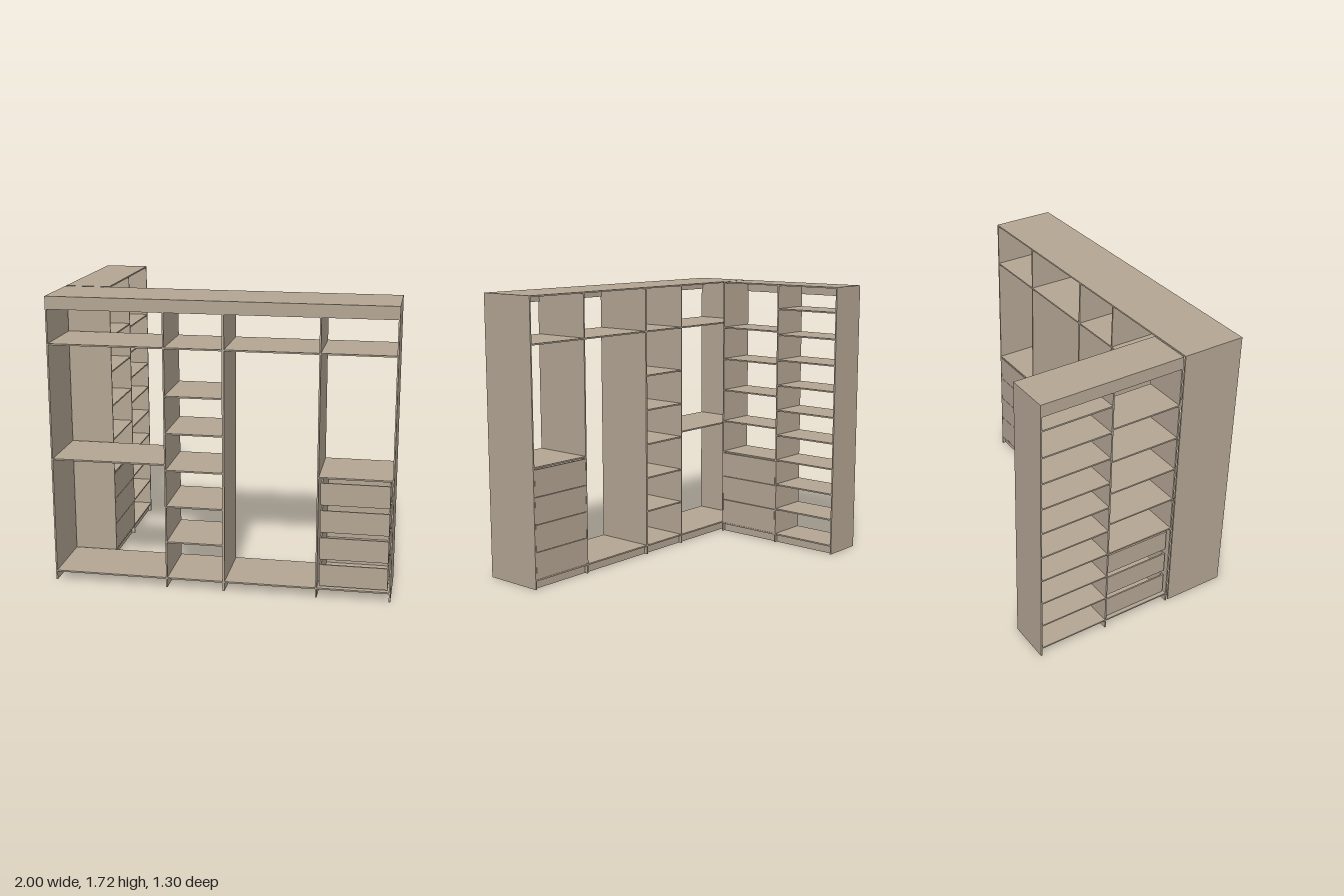
import * as THREE from 'three';

const T = 0.009;        // board thickness
const H = 1.72;         // overall height
const PLINTH = 0.06;    // top of the bottom board
const PITCH = 0.165;    // drawer spacing

const wood = new THREE.MeshStandardMaterial({ color: 0xb3a593 });
wood.name = 'tan board';

// Board given by its low and high corners
function board(parent, name, x0, x1, y0, y1, z0, z1) {
  const mesh = new THREE.Mesh(new THREE.BoxGeometry(x1 - x0, y1 - y0, z1 - z0), wood);
  mesh.position.set((x0 + x1) / 2, (y0 + y1) / 2, (z0 + z1) / 2);
  mesh.name = name;
  parent.add(mesh);
}

// Drawer with a face panel at z = 0 and an open-topped box behind it
function drawer(parent, x0, x1, y, depth) {
  const g = new THREE.Group();
  g.name = 'drawer';
  const a = x0 + 0.01, b = x1 - 0.01, lo = y + 0.006, hi = y + 0.138, back = depth - 0.02;
  board(g, 'drawerFront', x0 + 0.001, x1 - 0.001, y + 0.001, y + PITCH - 0.002, 0, T);
  board(g, 'drawerSide', a, a + T, lo, hi, T, back);
  board(g, 'drawerSide', b - T, b, lo, hi, T, back);
  board(g, 'drawerBack', a + T, b - T, lo, hi, back - T, back);
  board(g, 'drawerBottom', a + T, b - T, lo, lo + 0.005, T, back - T);
  parent.add(g);
}

// Open cabinet run: drawers face -z, the top rail closes the +z side.
// walls: [centre, thickness]; bays: shelf heights and drawer count per bay
function cabinet(name, depth, walls, bays) {
  const g = new THREE.Group();
  g.name = name;
  const edge = walls.map(([c, t]) => [c - t / 2, c + t / 2]);
  board(g, 'topBoard', edge[0][0], edge.at(-1)[1], H - T, H, 0, depth);
  for (const [a, b] of edge) board(g, 'uprightPanel', a, b, 0, H - T, 0, depth);

  bays.forEach(({ shelves, drawers = 0 }, i) => {
    const x0 = edge[i][1], x1 = edge[i + 1][0];
    board(g, 'bottomBoard', x0, x1, PLINTH - T, PLINTH, 0, depth);
    board(g, 'plinth', x0, x1, 0, PLINTH - T, 0.02, 0.02 + T);
    board(g, 'topRail', x0, x1, 1.645, H - T, depth - T, depth);
    for (const y of shelves) board(g, 'shelf', x0, x1, y - T / 2, y + T / 2, 0, depth);
    for (let d = 0; d < drawers; d++) drawer(g, x0, x1, PLINTH + d * PITCH, depth);
  });
  return g;
}

export function createModel() {
  const model = new THREE.Group();
  model.name = 'cornerWardrobe';

  // Long run
  const main = cabinet('mainCabinet', 0.388,
    [[-1 + T / 2, T], [-0.317, T], [0.025, 0.013], [0.57, T], [1 - T / 2, T]],
    [
      { shelves: [1.443, 0.756] },
      { shelves: [1.443, 1.163, 0.943, 0.722, 0.502, 0.282] },
      { shelves: [1.443] },
      { shelves: [1.443, 0.729], drawers: 4 },
    ]);
  main.position.z = 0.262;
  model.add(main);

  // Short return run, turned so its drawers face +x
  const wing = cabinet('sideCabinet', 0.265,
    [[-0.65 + T / 2, T], [-0.2, T], [0.25 - T / 2, T]],
    [
      { shelves: [1.56, 1.393, 1.227, 1.06, 0.895, 0.728, 0.561, 0.395, 0.228] },
      { shelves: [1.413, 1.2, 0.987, 0.774, 0.561], drawers: 3 },
    ]);
  wing.rotation.y = -Math.PI / 2;
  wing.position.x = -0.735;
  model.add(wing);

  return model;
}
